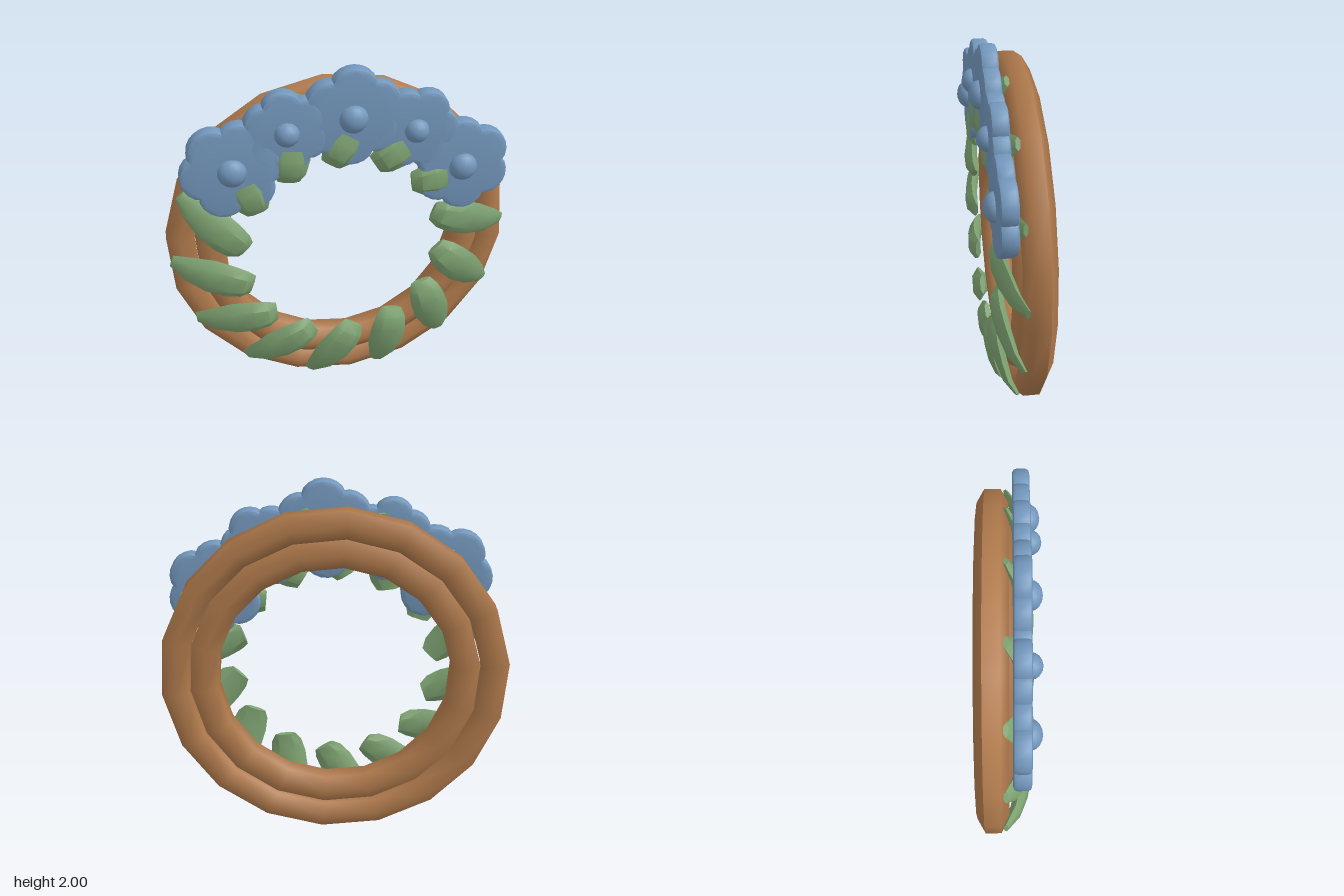
import * as THREE from 'three';
import { toCreasedNormals } from 'three/addons/utils/BufferGeometryUtils.js';

const rad = THREE.MathUtils.degToRad;
const mat = color => new THREE.MeshStandardMaterial({ color });
const wood = mat(0xb07a4c), green = mat(0x7fa473), blue = mat(0x7397bc);
const CY = 0.945; // height of the wreath centre

function add(parent, name, geometry, material) {
  const mesh = new THREE.Mesh(geometry, material);
  mesh.name = name;
  parent.add(mesh);
  return mesh;
}

// Hoop with a six-sided section, flat faces towards the outside and the hole
function hoop(R, r) {
  const pts = [];
  for (let i = 0; i <= 6; i++) {
    const a = rad(-30 + 60 * i);
    pts.push(new THREE.Vector2(R + r * Math.cos(a), r * Math.sin(a)));
  }
  return new THREE.LatheGeometry(pts, 18, rad(4.4)).rotateX(Math.PI / 2);
}

// Leaf lofted along +x: blunt raised tip at +x, narrow root sinking at -x
function leafGeometry() {
  const stations = [ // x, half width, height, half thickness
    [-0.23, 0.035, -0.015, 0.012],
    [-0.14, 0.075, 0.035, 0.025],
    [-0.02, 0.102, 0.068, 0.032],
    [0.09, 0.1, 0.088, 0.034],
    [0.17, 0.085, 0.09, 0.03],
    [0.22, 0.058, 0.075, 0.014],
  ];
  const section = [[1, 0], [0.5, 1], [-0.5, 1], [-1, 0], [-0.5, -1], [0.5, -1]];
  const pos = [], idx = [], n = section.length;
  for (const [x, w, z, h] of stations)
    for (const [u, v] of section) pos.push(x, u * w, z + v * h);
  for (let s = 0; s < stations.length - 1; s++)
    for (let i = 0; i < n; i++) {
      const a = s * n + i, b = s * n + (i + 1) % n;
      idx.push(a, b, a + n, b, b + n, a + n);
    }
  const last = (stations.length - 1) * n;
  for (let i = 1; i < n - 1; i++) {
    idx.push(0, i + 1, i);                      // root cap
    idx.push(last, last + i, last + i + 1);     // tip cap
  }
  const g = new THREE.BufferGeometry();
  g.setAttribute('position', new THREE.Float32BufferAttribute(pos, 3));
  g.setIndex(idx);
  return toCreasedNormals(g, rad(35));
}

// Flat blossom with six rounded petals and a bevelled rim
function blossomGeometry(radius, phase) {
  const bevel = 0.02, pts = [], steps = 48;
  for (let i = 0; i < steps; i++) {
    const a = (i / steps) * Math.PI * 2;
    const lobe = Math.pow(Math.abs(Math.cos(3 * a)), 0.7);
    const r = radius * (0.82 + 0.18 * lobe) - bevel;
    pts.push(new THREE.Vector2(r * Math.cos(a + phase), r * Math.sin(a + phase)));
  }
  const g = new THREE.ExtrudeGeometry(new THREE.Shape(pts), {
    depth: 0.05, bevelEnabled: true, bevelThickness: bevel, bevelSize: bevel, bevelSegments: 2,
  });
  return toCreasedNormals(g, rad(40));
}

export function createModel() {
  const model = new THREE.Group();
  model.name = 'wreath';

  // Two nested wooden hoops
  add(model, 'outerHoop', hoop(0.87, 0.086), wood).position.set(0, CY, -0.084);
  add(model, 'innerHoop', hoop(0.712, 0.09), wood).position.set(0, CY, -0.06);

  // Ring of slanted leaves
  const leaves = new THREE.Group();
  leaves.name = 'leaves';
  model.add(leaves);
  const leaf = leafGeometry();
  for (let i = 0; i < 14; i++) {
    const a = rad(8.5) + (i / 14) * Math.PI * 2;
    const m = add(leaves, 'leaf', leaf, green);
    m.position.set(0.715 * Math.cos(a), CY + 0.715 * Math.sin(a), 0);
    m.rotation.z = a + Math.PI - rad(28);
  }

  // Five blossoms over the top: x, y, radius, petal phase, centre radius
  const blossoms = [
    [-0.575, 1.49, 0.27, 10, 0.077],
    [-0.29, 1.68, 0.225, 38, 0.066],
    [0.05, 1.735, 0.266, 27, 0.076],
    [0.38, 1.64, 0.225, -3, 0.065],
    [0.64, 1.405, 0.262, 34, 0.077],
  ];
  for (const [x, y, r, phase, c] of blossoms) {
    const flower = new THREE.Group();
    flower.name = 'flower';
    flower.position.set(x, y, 0.02);
    model.add(flower);
    add(flower, 'petals', blossomGeometry(r, rad(phase)), blue).position.z = 0.02;
    const heart = add(flower, 'flowerCentre', new THREE.SphereGeometry(c, 16, 10), blue);
    heart.position.z = 0.085;
    heart.scale.z = 0.06 / c;
  }
  return model;
}
